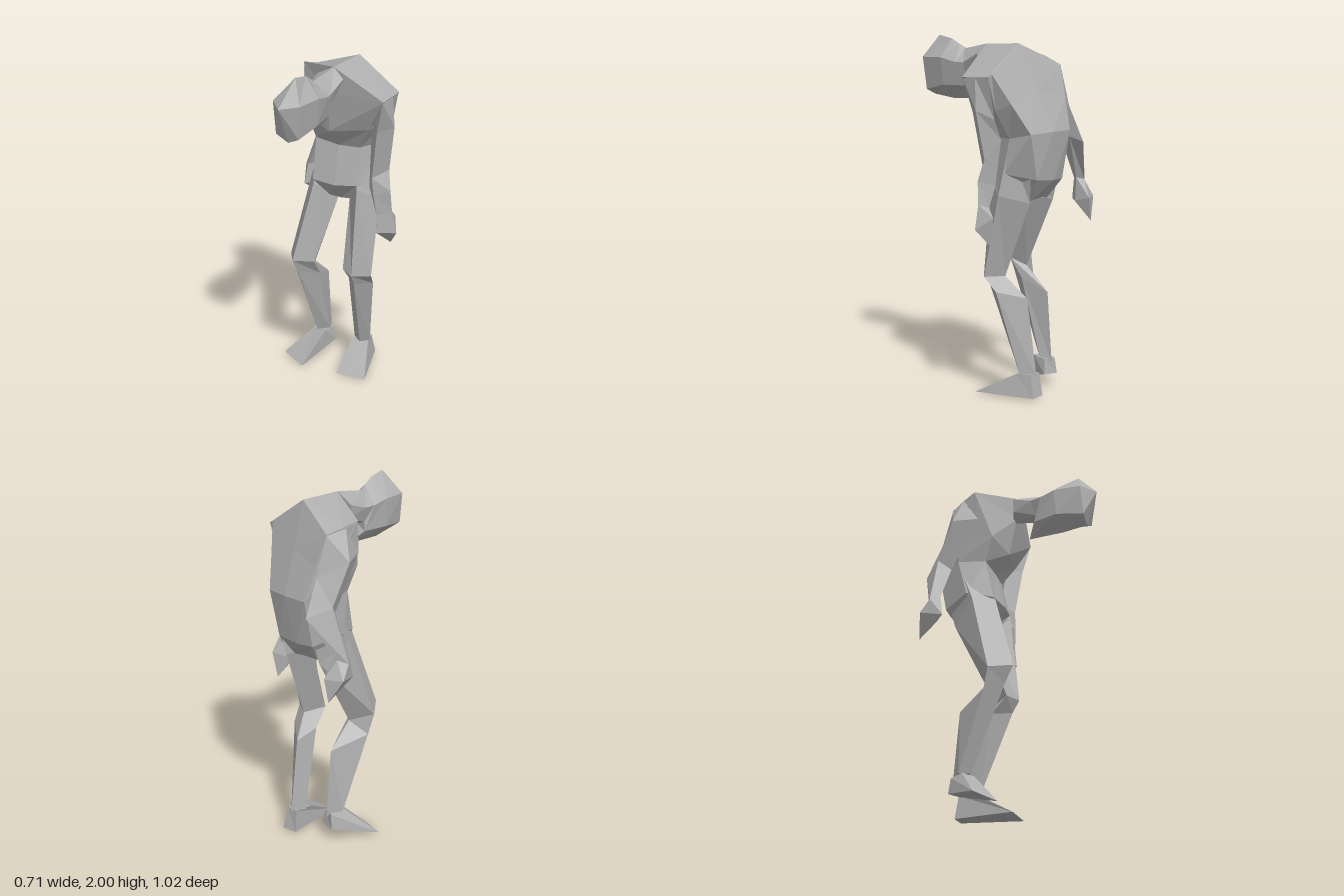
import * as THREE from 'three';

const skin = new THREE.MeshStandardMaterial({ color: 0xaeaeae, flatShading: true });
skin.name = 'plain grey';

// Centre of a ring of points
function centre(ring) {
  return [0, 1, 2].map(k => ring.reduce((s, p) => s + p[k], 0) / ring.length);
}

// Skin a closed, faceted surface over cross-sections; endPoint gives a pointed end
function loft(name, rings, endPoint) {
  const tris = [];
  const n = rings[0].length;
  for (let r = 0; r < rings.length - 1; r++) {
    for (let i = 0; i < n; i++) {
      const j = (i + 1) % n;
      const a = rings[r][i], b = rings[r][j], c = rings[r + 1][j], d = rings[r + 1][i];
      tris.push([a, b, c], [a, c, d]);
    }
  }
  const first = rings[0], last = rings[rings.length - 1];
  const c0 = centre(first), c1 = endPoint || centre(last);
  for (let i = 0; i < n; i++) {
    const j = (i + 1) % n;
    tris.push([c0, first[j], first[i]], [c1, last[i], last[j]]);
  }
  // Turn the surface outward if its signed volume is negative
  let volume = 0;
  const v = tris.map(t => t.map(p => new THREE.Vector3(...p)));
  for (const [a, b, c] of v) volume += a.dot(b.clone().cross(c));
  const points = [];
  for (const [a, b, c] of v) {
    const area = b.clone().sub(a).cross(c.clone().sub(a)).length();
    if (area < 1e-7) continue;
    points.push(...(volume < 0 ? [a, c, b] : [a, b, c]));
  }
  const geometry = new THREE.BufferGeometry().setFromPoints(points);
  geometry.computeVertexNormals();
  const mesh = new THREE.Mesh(geometry, skin);
  mesh.name = name;
  return mesh;
}

// Torso, from crotch to shoulders: front right, front, front left, left, back left, back, back right, right
function torso() {
  const neck = [0.035, 1.955, 0.02], spine = [0.08, 1.96, -0.228];
  const rings = [
    [[-0.06, 1.13, -0.14], [0, 1.11, -0.17], [0.07, 1.13, -0.14], [0.09, 1.1, -0.22],
      [0.08, 1.11, -0.32], [0, 1.12, -0.33], [-0.07, 1.11, -0.32], [-0.09, 1.1, -0.22]],
    [[-0.145, 1.23, -0.09], [0, 1.225, -0.07], [0.125, 1.235, -0.09], [0.2, 1.26, -0.22],
      [0.13, 1.23, -0.39], [0, 1.22, -0.41], [-0.1, 1.22, -0.4], [-0.19, 1.26, -0.24]],
    [[-0.145, 1.47, -0.14], [0, 1.45, -0.13], [0.125, 1.45, -0.14], [0.18, 1.45, -0.24],
      [0.19, 1.48, -0.39], [0.05, 1.49, -0.44], [-0.09, 1.49, -0.455], [-0.17, 1.48, -0.3]],
    [[-0.175, 1.61, -0.09], [-0.02, 1.56, -0.04], [0.2, 1.585, -0.08], [0.25, 1.6, -0.2],
      [0.245, 1.64, -0.3], [0.065, 1.72, -0.335], [-0.125, 1.67, -0.4], [-0.2, 1.65, -0.3]],
    [[-0.237, 1.89, -0.18], [0, 1.8, 0], [0.31, 1.78, -0.02], [0.325, 1.785, -0.205],
      [0.3, 1.8, -0.212], spine, [-0.157, 1.84, -0.347], [-0.2, 1.865, -0.265]],
  ];
  rings.push([neck, neck, neck, spine, spine, spine, spine, spine]);
  return loft('torso', rings);
}

// Neck and drooping head: top, upper left, lower left, bottom, lower right, upper right
function head() {
  return loft('neckAndHead', [
    [[0.035, 1.955, 0.02], [0.1, 1.9, 0.04], [0.06, 1.82, 0.03], [0, 1.78, -0.02], [-0.06, 1.82, 0], [-0.07, 1.9, 0]],
    [[0, 1.925, 0.2], [0.08, 1.85, 0.15], [0.06, 1.77, 0.16], [0, 1.745, 0.16], [-0.06, 1.77, 0.14], [-0.085, 1.86, 0.115]],
    [[0, 1.95, 0.235], [0.085, 1.85, 0.2], [0.06, 1.72, 0.13], [0, 1.65, 0.08], [-0.07, 1.72, 0.13], [-0.1, 1.86, 0.18]],
    [[0, 1.98, 0.29], [0.085, 1.875, 0.307], [0.07, 1.72, 0.3], [-0.03, 1.64, 0.3], [-0.115, 1.72, 0.28], [-0.12, 1.88, 0.27]],
    [[-0.01, 2, 0.39], [0.05, 1.875, 0.467], [0.035, 1.69, 0.45], [-0.03, 1.66, 0.44], [-0.1, 1.7, 0.44], [-0.12, 1.875, 0.43]],
  ], [-0.05, 1.86, 0.51]);
}

export function createModel() {
  const group = new THREE.Group();
  group.name = 'slouchingFigure';
  group.add(torso(), head());

  // Left arm hangs straight down; rings run front, outer, back, inner
  const leftWrist = [[0.25, 1.07, -0.1], [0.325, 1.1, -0.14], [0.28, 1.08, -0.18], [0.24, 1.08, -0.15]];
  group.add(loft('leftArm', [
    [[0.305, 1.775, -0.022], [0.325, 1.78, -0.12], [0.32, 1.78, -0.205], [0.2, 1.72, -0.12]],
    [[0.26, 1.59, -0.055], [0.333, 1.605, -0.13], [0.28, 1.56, -0.215], [0.2, 1.59, -0.13]],
    [[0.22, 1.3, -0.09], [0.295, 1.34, -0.16], [0.24, 1.45, -0.23], [0.175, 1.33, -0.17]],
    [[0.23, 1.2, -0.09], [0.317, 1.225, -0.13], [0.25, 1.2, -0.2], [0.18, 1.225, -0.15]],
    leftWrist,
  ]));
  group.add(loft('leftHand', [
    leftWrist,
    [[0.25, 0.97, -0.09], [0.355, 0.965, -0.14], [0.31, 1.03, -0.23], [0.225, 0.98, -0.15]],
  ], [0.295, 0.87, -0.205]));

  // Right arm swings back with a bent elbow; rings run front, inner, back, outer
  const rightWrist = [[-0.3, 1.2, -0.35], [-0.245, 1.21, -0.4], [-0.28, 1.2, -0.43], [-0.335, 1.18, -0.4]];
  group.add(loft('rightArm', [
    [[-0.236, 1.885, -0.18], [-0.15, 1.75, -0.25], [-0.157, 1.835, -0.347], [-0.215, 1.86, -0.255]],
    [[-0.23, 1.71, -0.16], [-0.14, 1.62, -0.3], [-0.14, 1.62, -0.415], [-0.27, 1.7, -0.3]],
    [[-0.2, 1.42, -0.33], [-0.14, 1.45, -0.42], [-0.14, 1.425, -0.51], [-0.233, 1.475, -0.4]],
    rightWrist,
  ]));
  group.add(loft('rightHand', [
    rightWrist,
    [[-0.315, 1.08, -0.33], [-0.235, 1.08, -0.4], [-0.24, 1.1, -0.49], [-0.34, 1.1, -0.455]],
  ], [-0.265, 0.97, -0.487]));

  // Legs with bent knees, blended up into the hips; rings run front, left, back, right
  group.add(loft('leftLeg', [
    [[0.125, 1.25, -0.1], [0.182, 1.42, -0.24], [0.17, 1.45, -0.385], [0.03, 1.25, -0.22]],
    [[0.13, 1.21, -0.085], [0.225, 1.14, -0.2], [0.125, 1.1, -0.34], [0.03, 1.11, -0.22]],
    [[0.125, 0.69, -0.03], [0.22, 0.68, -0.1], [0.13, 0.68, -0.18], [0.05, 0.7, -0.08]],
    [[0.125, 0.62, -0.07], [0.205, 0.6, -0.17], [0.09, 0.56, -0.3], [0.05, 0.6, -0.17]],
    [[0.09, 0.13, -0.25], [0.14, 0.13, -0.29], [0.09, 0.13, -0.365], [0.035, 0.13, -0.3]],
  ]));
  group.add(loft('rightLeg', [
    [[-0.14, 1.25, -0.1], [-0.03, 1.25, -0.2], [-0.085, 1.42, -0.43], [-0.172, 1.42, -0.28]],
    [[-0.135, 1.21, -0.08], [-0.03, 1.11, -0.2], [-0.1, 1.1, -0.34], [-0.2, 1.22, -0.2]],
    [[-0.21, 0.76, 0.053], [-0.115, 0.73, -0.04], [-0.15, 0.69, -0.13], [-0.28, 0.74, -0.07]],
    [[-0.2, 0.66, 0], [-0.115, 0.62, -0.12], [-0.135, 0.555, -0.285], [-0.26, 0.62, -0.1]],
    [[-0.17, 0.18, -0.2], [-0.11, 0.18, -0.25], [-0.13, 0.15, -0.32], [-0.2, 0.18, -0.26]],
  ]));

  // Wedge feet, from ankle to sole
  group.add(loft('leftFoot', [
    [[0.035, 0.13, -0.25], [0.14, 0.13, -0.26], [0.125, 0.14, -0.35], [0.055, 0.14, -0.36]],
    [[0.03, 0.01, -0.035], [0.215, 0.01, -0.035], [0.14, 0.01, -0.38], [0.05, 0.01, -0.38]],
  ]));
  group.add(loft('rightFoot', [
    [[-0.2, 0.18, -0.24], [-0.12, 0.18, -0.2], [-0.1, 0.17, -0.29], [-0.16, 0.17, -0.32]],
    [[-0.355, 0.02, -0.117], [-0.2, 0, -0.035], [-0.085, 0.085, -0.3], [-0.17, 0.08, -0.33]],
  ]));
  return group;
}
